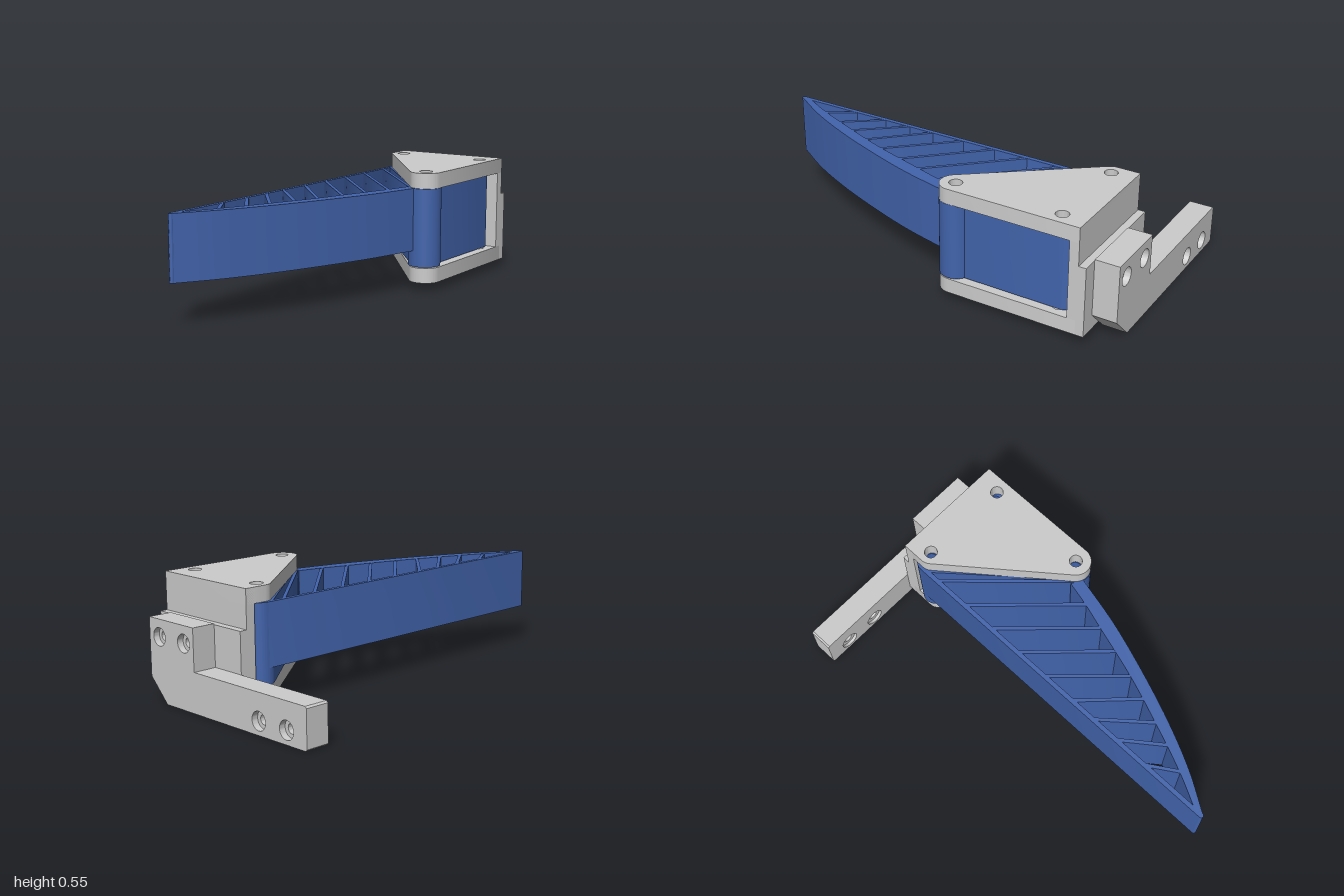
import * as THREE from 'three';
import { toCreasedNormals } from 'three/addons/utils/BufferGeometryUtils.js';

const grey = new THREE.MeshStandardMaterial({ color: 0xcccccc });
const blue = new THREE.MeshStandardMaterial({ color: 0x4264ac });

// Outline around a counter-clockwise ring of circles [x, y, r]
function hull(circles) {
  const n = circles.length;
  const normals = circles.map(([x, y, r], i) => {
    const [x2, y2, r2] = circles[(i + 1) % n];
    const dx = x2 - x, dy = y2 - y;
    return Math.atan2(dy, dx) - Math.acos((r - r2) / Math.hypot(dx, dy));
  });
  const shape = new THREE.Shape();
  circles.forEach(([x, y, r], i) => shape.absarc(x, y, r, normals[(i + n - 1) % n], normals[i], false));
  shape.closePath();
  return shape;
}

function addHoles(shape, holes) {
  for (const [x, y, r] of holes) {
    const p = new THREE.Path();
    p.absarc(x, y, r, 0, Math.PI * 2, true);
    shape.holes.push(p);
  }
  return shape;
}

const polygon = (pts) => new THREE.Shape(pts.map(([x, y]) => new THREE.Vector2(x, y)));

function extrude(shape, depth) {
  const g = new THREE.ExtrudeGeometry(shape, { depth, bevelEnabled: false, curveSegments: 20 });
  return toCreasedNormals(g, 0.5);
}

function add(group, name, geometry, material) {
  const mesh = new THREE.Mesh(geometry, material);
  mesh.name = name;
  group.add(mesh);
  return mesh;
}

// Upright prism: the shape is drawn in (x, -z) and spans y0..y1
function upright(group, name, shape, y0, y1, material) {
  const g = extrude(shape, y1 - y0);
  g.rotateX(-Math.PI / 2);
  g.translate(0, y0, 0);
  return add(group, name, g, material);
}

function box(group, name, [x0, x1], [y0, y1], [z0, z1]) {
  const g = new THREE.BoxGeometry(x1 - x0, y1 - y0, z1 - z0);
  g.translate((x0 + x1) / 2, (y0 + y1) / 2, (z0 + z1) / 2);
  return add(group, name, g, grey);
}

function makeMount() {
  const mount = new THREE.Group();
  mount.name = 'mountingArm';
  const lower = [[-0.43, 0.062], [-0.26, 0.062]];
  const upper = [[0.4, 0.3], [0.228, 0.3]];
  // Layers give the screw holes a wide seat at each face
  const layers = [[-1, -0.97, 0.042, 0.042], [-0.97, -0.9, 0.023, 0.023], [-0.9, -0.885, 0.045, 0.023]];
  for (const [z0, z1, rLow, rUp] of layers) {
    const shape = polygon([
      [-0.542, 0], [0.36, 0], [0.47, 0.11], [0.47, 0.38], [0.16, 0.38],
      [0.16, 0.185], [-0.542, 0.185], [-0.55, 0.177], [-0.55, 0.008],
    ]);
    addHoles(shape, [...lower.map((p) => [...p, rLow]), ...upper.map((p) => [...p, rUp])]);
    const g = extrude(shape, z1 - z0);
    g.translate(0, 0, z0);
    add(mount, 'armPlate', g, grey);
  }
  return mount;
}

function makeBracket() {
  const bracket = new THREE.Group();
  bracket.name = 'bracket';
  const holes = [[0.045, 0.74, 0.03], [0.48, 0.735, 0.03], [0.475, 0.22, 0.03]];
  // Two triangular cheeks joined by the back wall
  for (const [name, y0, y1] of [['bottomCheek', 0.042, 0.112], ['topCheek', 0.482, 0.553]]) {
    const shape = hull([[0.475, 0.22, 0.072], [0.54, 0.845, 0.005], [-0.01, 0.845, 0.005], [0.045, 0.74, 0.06]]);
    upright(bracket, name, addHoles(shape, holes), y0, y1, grey);
  }
  box(bracket, 'backWall', [-0.015, 0.545], [0.042, 0.553], [-0.85, -0.805]);
  box(bracket, 'backPad', [-0.015, 0.545], [0.042, 0.375], [-0.885, -0.85]);
  return bracket;
}

function makeFinger() {
  const finger = new THREE.Group();
  finger.name = 'finger';
  const y0 = 0.19, y1 = 0.481, baseY = 0.117;

  // Solid root held between the cheeks, with a round hinge knuckle
  const pivot = [0.472, 0.22, 0.03];
  const root = hull([[0.46, 0.22, 0.05], [0.46, 0.75, 0.05], [0.03, 0.74, 0.06]]);
  upright(finger, 'root', addHoles(root, [pivot, [0.04, 0.74, 0.03], [0.465, 0.735, 0.03]]), baseY, y1, blue);
  const knuckle = new THREE.Shape();
  knuckle.absarc(0.472, 0.22, 0.075, 0, Math.PI * 2, false);
  upright(finger, 'knuckle', addHoles(knuckle, [pivot]), baseY, y1, blue);

  // Straight contact wall
  upright(finger, 'contactWall', hull([[-0.019, -0.989, 0.011], [-0.019, 0.74, 0.011]]), y0, y1, blue);

  // Curved back beam
  const spline = (pts) => new THREE.CatmullRomCurve3(pts.map(([x, z]) => new THREE.Vector3(x, -z, 0)))
    .getPoints(30).map((p) => [p.x, p.y]);
  const outer = spline([[-0.014, 0.998], [0.1, 0.815], [0.205, 0.6], [0.305, 0.35], [0.39, 0.1], [0.453, -0.15]]);
  const inner = spline([[0.4, -0.18], [0.37, -0.06], [0.33, 0.07], [0.25, 0.33], [0.162, 0.56], [0.065, 0.79], [-0.022, 0.96]]);
  upright(finger, 'curvedBeam', polygon([...outer, ...inner]), y0, y1, blue);

  // Slanted ribs: z at the contact wall, then x and z at the curved beam
  const ribs = [
    [-0.64, 0.4, -0.2], [-0.46, 0.37, -0.06], [-0.29, 0.33, 0.07], [-0.12, 0.295, 0.2], [0.05, 0.25, 0.33],
    [0.22, 0.21, 0.445], [0.35, 0.162, 0.56], [0.49, 0.12, 0.67], [0.66, 0.065, 0.79],
  ];
  for (const [z, x2, z2] of ribs) {
    upright(finger, 'rib', hull([[-0.015, -z, 0.008], [x2 + 0.008, -z2 - 0.008, 0.008]]), y0, y1 - 0.001, blue);
  }
  return finger;
}

export function createModel() {
  const model = new THREE.Group();
  model.name = 'gripperFinger';
  model.add(makeMount(), makeBracket(), makeFinger());
  return model;
}
